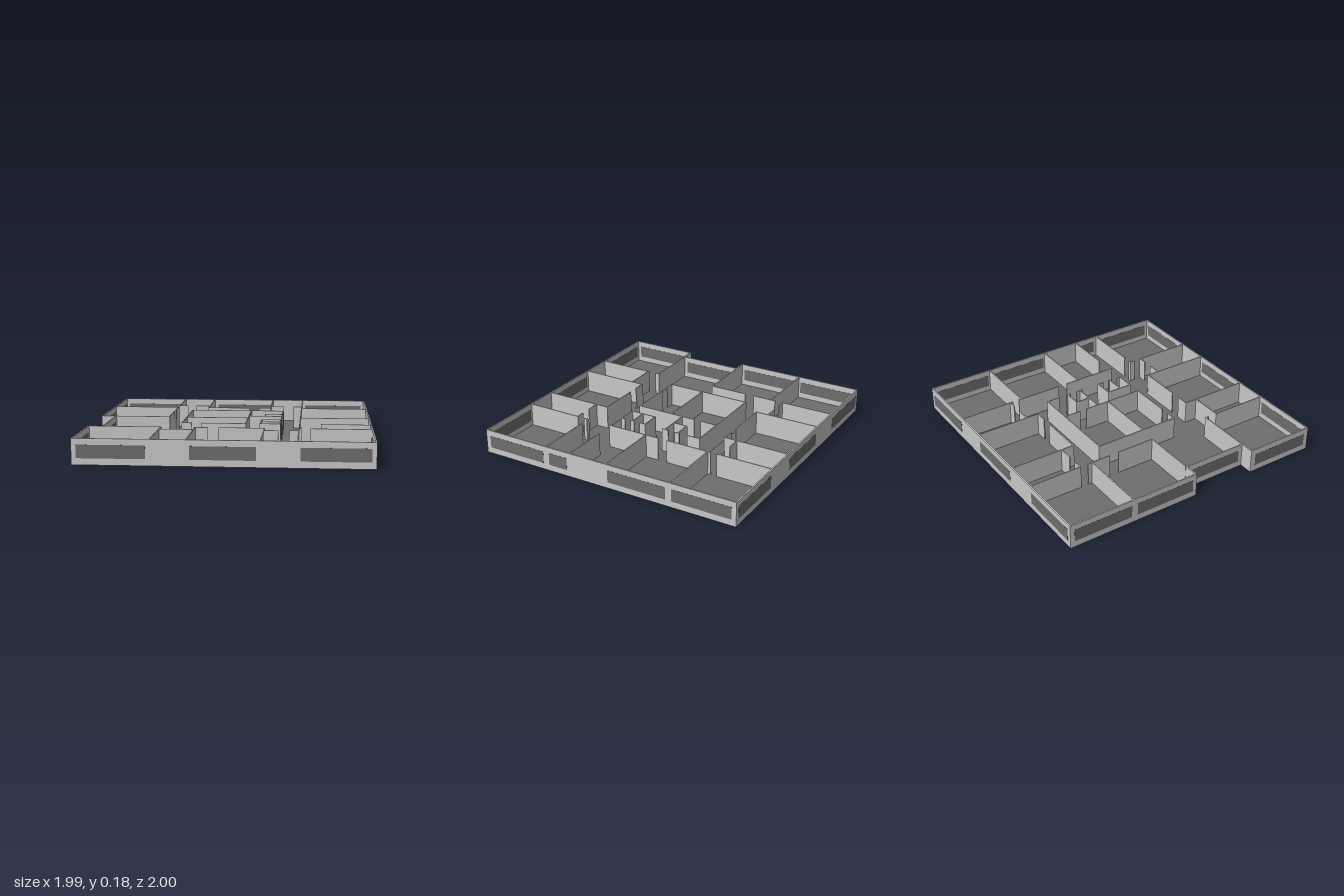
import * as THREE from 'three';

const H = 0.177;   // wall height
const X = 0.994;   // half width
const T = 0.01;    // outer wall thickness
const t = 0.008;   // partition thickness

export function createModel() {
  const model = new THREE.Group();
  const wallMat = new THREE.MeshStandardMaterial({ color: 0xc8c8c8 });
  wallMat.name = 'pale grey wall';
  const darkMat = new THREE.MeshStandardMaterial({ color: 0x6e6e6e });
  darkMat.name = 'dark grey floor and glazing';

  const box = (parent, name, mat, x1, x2, y1, y2, z1, z2) => {
    const m = new THREE.Mesh(new THREE.BoxGeometry(x2 - x1, y2 - y1, z2 - z1), mat);
    m.position.set((x1 + x2) / 2, (y1 + y2) / 2, (z1 + z2) / 2);
    m.name = name;
    parent.add(m);
  };
  const group = (name) => {
    const g = new THREE.Group();
    g.name = name;
    model.add(g);
    return g;
  };

  // Floor slab with the entrance recess cut from one side
  const plan = [[-X, 1], [X, 1], [X, -1], [-X, -1], [-X, 0], [-0.894, 0], [-0.894, 0.475], [-X, 0.475]];
  const outline = new THREE.Shape(plan.map(([x, z]) => new THREE.Vector2(x * 0.999, -z * 0.999)));
  const floor = new THREE.Mesh(
    new THREE.ExtrudeGeometry(outline, { depth: 0.005, bevelEnabled: false }), darkMat);
  floor.rotation.x = -Math.PI / 2;
  floor.name = 'floor';
  model.add(floor);

  // Outer walls along x and along z
  const outer = group('outerWalls');
  for (const [z, x1, x2] of [[1 - T / 2, -X, X], [-1 + T / 2, -X, X], [-T / 2, -X, -0.884], [0.48, -X, -0.884]])
    box(outer, 'outerWall', wallMat, x1, x2, 0, H, z - T / 2, z + T / 2);
  for (const [x, z1, z2] of [[X - T / 2, -1 + T, 1 - T], [-X + T / 2, -1 + T, -T],
    [-0.889, 0, 0.475], [-X + T / 2, 0.485, 1 - T]])
    box(outer, 'outerWall', wallMat, x - T / 2, x + T / 2, 0, H, z1, z2);

  // Window bands, showing on both faces of the outer walls
  const windows = group('windows');
  const w = T / 2 + 0.001, low = 0.045, high = 0.135;
  for (const z of [1 - T / 2, -1 + T / 2])
    for (const [a, b] of [[-0.963, -0.505], [-0.217, 0.22], [0.505, 0.963]])
      box(windows, 'window', darkMat, a, b, low, high, z - w, z + w);
  for (const [x, a, b] of [
    [X - T / 2, 0.5, 0.965], [X - T / 2, 0.303, 0.452], [X - T / 2, -0.48, -0.03], [X - T / 2, -0.967, -0.527],
    [-X + T / 2, 0.515, 0.965], [-X + T / 2, -0.48, -0.03], [-X + T / 2, -0.967, -0.527],
    [-0.889, 0.03, 0.445]])
    box(windows, 'window', darkMat, x - w, x + w, low, high, a, b);

  // Partitions running along x: z, then start and end pairs
  const inner = group('partitions');
  const alongX = [
    [-0.605, -0.488, -0.42, -0.355, -0.245, 0.24, 0.345, 0.42, 0.485],
    [-0.51, -0.985, -0.488, -0.245, 0.08, 0.15, 0.24, 0.485, 0.985],
    [-0.365, -0.355, 0.345],
    [-0.19, 0.22, 0.345],
    [-0.083, 0.1, 0.345],
    [-0.008, -0.884, -0.488],
    [-0.014, 0.485, 0.985],
    [0.008, -0.355, 0.1],
    [0.083, 0.205, 0.345],
    [0.188, 0.205, 0.345],
    [0.28, -0.355, -0.285, -0.215, 0.1, 0.205, 0.345, 0.635, 0.985],
    [0.478, -0.884, -0.48, -0.24, -0.15, -0.075, 0.24, 0.485, 0.505, 0.565, 0.985],
    [0.572, -0.48, -0.24, 0.245, 0.345, 0.42, 0.485],
  ];
  // Partitions running along z: x, then start and end pairs
  const alongZ = [
    [-0.488, -0.99, -0.605, -0.54, -0.37, -0.29, -0.008],
    [-0.245, -0.99, -0.51],
    [0.24, -0.99, -0.51],
    [0.485, -0.99, -0.585, -0.53, -0.19, -0.11, 0.29, 0.478, 0.51, 0.572, 0.99],
    [-0.355, -0.365, 0.28],
    [0.1, -0.365, -0.24, -0.18, 0.28],
    [0.345, -0.365, -0.27, -0.2, -0.17, -0.11, -0.065, 0.083, 0.125, 0.178, 0.2, 0.255, 0.28],
    [0.22, -0.19, -0.083],
    [0.205, 0.083, 0.28],
    [-0.48, 0.478, 0.5, 0.572, 0.99],
    [-0.24, 0.478, 0.99],
    [0.245, 0.478, 0.99],
  ];
  const h = t / 2;
  for (const [z, ...ends] of alongX)
    for (let i = 0; i < ends.length; i += 2)
      box(inner, 'partition', wallMat, ends[i], ends[i + 1], 0.001, H - 0.0005, z - h, z + h);
  for (const [x, ...ends] of alongZ)
    for (let i = 0; i < ends.length; i += 2)
      box(inner, 'partition', wallMat, x - h, x + h, 0.001, H - 0.001, ends[i] - h, ends[i + 1] + h);

  return model;
}
